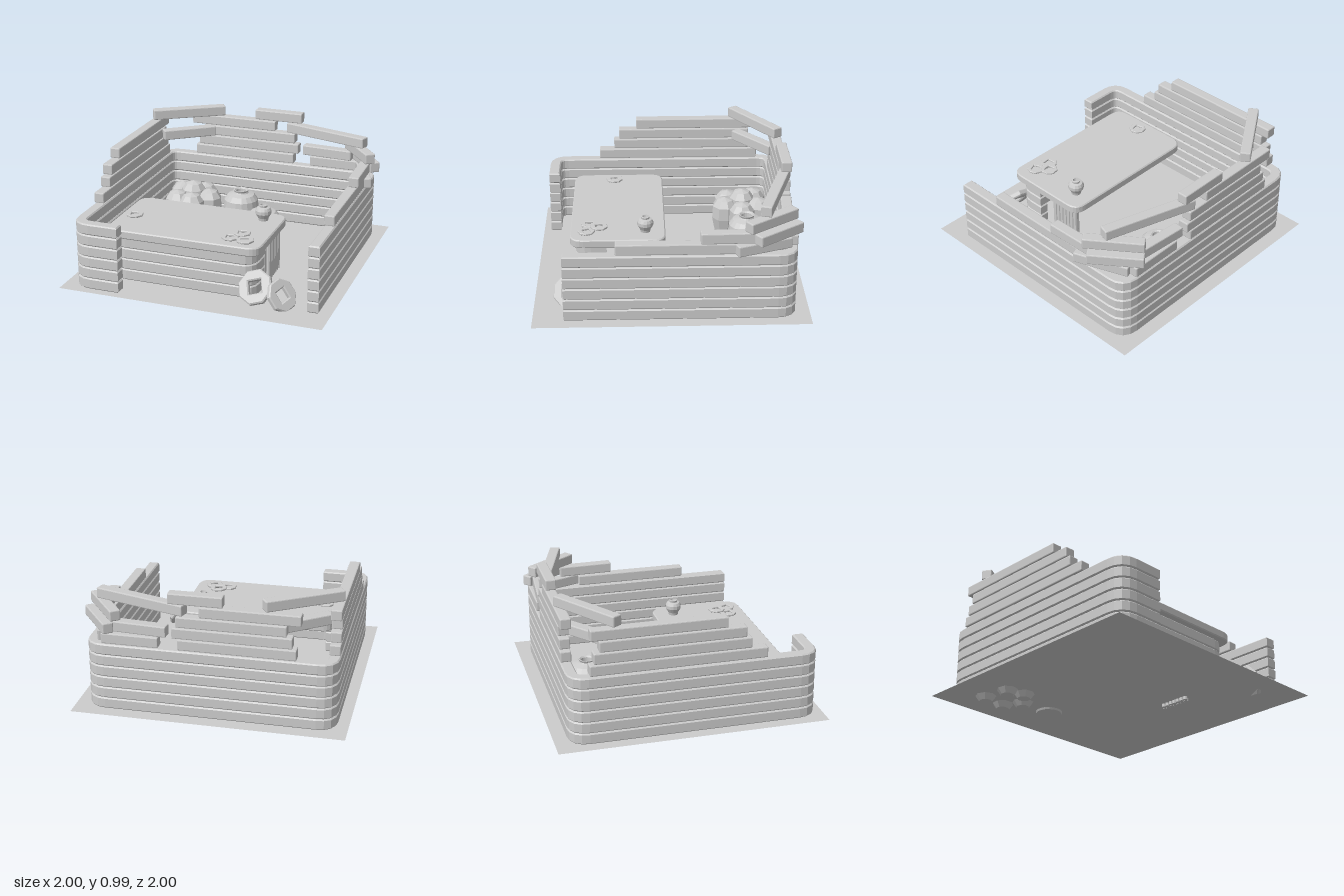
import * as THREE from 'three';
import { RoundedBoxGeometry } from 'three/addons/geometries/RoundedBoxGeometry.js';

const mat = new THREE.MeshStandardMaterial({ color: 0xcccccc, flatShading: true });
const thinMat = new THREE.MeshStandardMaterial({ color: 0xcccccc, side: THREE.DoubleSide });

export function createModel() {
  const root = new THREE.Group();

  function add(name, geometry, x = 0, y = 0, z = 0, parent = root, material = mat) {
    const mesh = new THREE.Mesh(geometry, material);
    mesh.name = name;
    mesh.position.set(x, y, z);
    parent.add(mesh);
    return mesh;
  }
  function group(name) {
    const g = new THREE.Group();
    g.name = name;
    root.add(g);
    return g;
  }

  // Flat shape (x, -z) extruded upward with a small bevel
  function slab(shape, height, bevel) {
    const geo = new THREE.ExtrudeGeometry(shape, {
      depth: height - 2 * bevel, bevelThickness: bevel, bevelSize: bevel,
      bevelOffset: -bevel, bevelSegments: 1, curveSegments: 6,
    });
    return geo.rotateX(-Math.PI / 2).translate(0, bevel, 0);
  }

  // Strip of constant width along an [x, z] path with rounded corners
  function ribbon(path, width, radius) {
    const p = path.map(([x, z]) => new THREE.Vector2(x, -z));
    const line = [p[0]];
    for (let i = 1; i < p.length - 1; i++) {
      const a = p[i - 1].clone().sub(p[i]).setLength(radius).add(p[i]);
      const b = p[i + 1].clone().sub(p[i]).setLength(radius).add(p[i]);
      line.push(...new THREE.QuadraticBezierCurve(a, p[i], b).getPoints(4));
    }
    line.push(p[p.length - 1]);
    const left = [], right = [];
    line.forEach((q, i) => {
      const t = line[Math.min(i + 1, line.length - 1)].clone()
        .sub(line[Math.max(i - 1, 0)]).setLength(width / 2);
      left.push(new THREE.Vector2(q.x - t.y, q.y + t.x));
      right.unshift(new THREE.Vector2(q.x + t.y, q.y - t.x));
    });
    return new THREE.Shape([...left, ...right]);
  }

  // Ground sheet
  add('ground', new THREE.PlaneGeometry(2, 2).rotateX(-Math.PI / 2), 0, 0.05, 0, root, thinMat);

  // Outer wall: six bevelled courses, open at the front right
  const STEP = 0.085;
  const wall = group('outerWall');
  const wallShape = ribbon([[-0.55, 0.9], [-0.877, 0.9], [-0.877, -0.858], [0.868, -0.858], [0.868, 0.775]], 0.084, 0.1);
  for (let i = 0; i < 6; i++) add('wallCourse', slab(wallShape, 0.083, 0.009), 0, 0.051 + i * STEP, 0, wall);

  // Loose planks above the wall: [layer, x1, z1, x2, z2]
  const planks = group('loosePlanks');
  const rows = [
    // left side
    [0, -0.877, 0.54, -0.877, -0.75], [1, -0.877, 0.42, -0.877, -0.72],
    [2, -0.877, 0.38, -0.877, -0.68], [3, -0.877, 0.24, -0.877, -0.74],
    // back
    [0, -0.63, -0.86, 0.22, -0.86], [1, -0.6, -0.86, 0.26, -0.86],
    [2, -0.56, -0.86, 0.23, -0.86], [3, -0.66, -0.86, 0.06, -0.86],
    [4, -0.11, -0.86, 0.285, -0.86],
    [0, 0.36, -0.86, 0.78, -0.86], [1, 0.3, -0.86, 0.71, -0.83],
    // slanted pieces across the corners
    [2, -0.82, -0.57, -0.47, -0.84], [4, -0.895, -0.545, -0.395, -0.87],
    [3, 0.17, -0.865, 0.855, -0.655], [2, 0.67, -0.88, 0.93, -0.53],
    [1, 0.715, -0.915, 0.955, -0.595], [0, 0.78, -0.84, 0.925, -0.45],
    // right side
    [0, 0.868, 0.4, 0.868, -0.47], [1, 0.885, -0.2, 0.875, -0.62],
  ];
  for (const [layer, x1, z1, x2, z2] of rows) {
    const geo = new RoundedBoxGeometry(Math.hypot(x2 - x1, z2 - z1), 0.08, 0.08, 1, 0.008);
    const m = add('plank', geo, (x1 + x2) / 2, 0.607 + layer * 0.0865, (z1 + z2) / 2, planks);
    m.rotation.y = -Math.atan2(z2 - z1, x2 - x1);
  }

  // Counter: four low courses, a rounded top and a screen of upright sticks
  const counter = group('counter');
  const counterShape = ribbon([[0.375, 0.47], [0.375, 0.665], [-0.68, 0.665], [-0.68, 0.42]], 0.07, 0.08);
  for (let i = 0; i < 4; i++) add('counterCourse', slab(counterShape, 0.083, 0.008), 0, 0.051 + i * STEP, 0, counter);
  const top = new THREE.Shape();
  const [x0, x1, y0, y1, r] = [-0.75, 0.45, -0.74, -0.03, 0.1];
  top.moveTo(x0 + r, y0).lineTo(x1 - r, y0).quadraticCurveTo(x1, y0, x1, y0 + r)
    .lineTo(x1, y1 - r).quadraticCurveTo(x1, y1, x1 - r, y1)
    .lineTo(x0 + r, y1).quadraticCurveTo(x0, y1, x0, y1 - r)
    .lineTo(x0, y0 + r).quadraticCurveTo(x0, y0, x0 + r, y0);
  add('counterTop', slab(top, 0.065, 0.008), 0, 0.393, 0, counter);
  for (let i = 0; i < 14; i++) {
    const stick = new THREE.CylinderGeometry(0.018, 0.018, 0.37, 8);
    add('stick', stick, i % 2 ? 0.36 : 0.39, 0.21, 0.1 + i * 0.018, counter);
  }

  // Lathe from [radius, height] pairs
  const turned = (points, sides) =>
    new THREE.LatheGeometry(points.map(([a, b]) => new THREE.Vector2(a, b)), sides);

  // Cluster of faceted sacks, the middle one raised
  const sacks = group('sacks');
  const sackProfile = [[0, 0], [0.05, 0.008], [0.08, 0.05], [0.105, 0.17], [0.1, 0.27], [0.065, 0.32], [0, 0.34]];
  const spots = [[-0.71, -0.715], [-0.52, -0.745], [-0.435, -0.61], [-0.54, -0.475], [-0.675, -0.505], [-0.575, -0.615]];
  spots.forEach(([x, z], i) => {
    const sack = add('sack', turned(sackProfile, 8), x, i === 5 ? 0.055 : 0, z, sacks);
    sack.rotation.y = i * 0.35;
  });

  // Round jars with a rolled rim and a hollow mouth
  const jarProfile = [
    [0, 0], [0.66, 0], [0.72, 0.06], [0.93, 0.35], [1, 0.58], [0.95, 0.76], [0.75, 0.88], [0.42, 0.92],
    [0.38, 0.95], [0.43, 1], [0.36, 1], [0.29, 0.97], [0.27, 0.85], [0, 0.83],
  ];
  const jar = (name, x, y, z, radius, height, sides) =>
    add(name, turned(jarProfile.map(([a, b]) => [a * radius, b * height]), sides), x, y, z);
  jar('largeJar', -0.16, 0.035, -0.62, 0.145, 0.33, 18);
  jar('mediumJar', 0.085, 0.052, -0.47, 0.132, 0.24, 18);
  // Small jar on the counter
  add('smallJar', turned([
    [0, 0], [0.036, 0], [0.04, 0.02], [0.06, 0.055], [0.06, 0.08], [0.05, 0.1], [0.03, 0.105],
    [0.032, 0.12], [0.022, 0.122], [0.018, 0.1], [0, 0.098],
  ], 14), 0.3, 0.458, 0.18);

  // Octagonal coins with a square hole, facing along their normal
  function coin(name, radius, thickness, hole, pos, normal, spin) {
    const ring = (n, rad, turn) => Array.from({ length: n }, (_, i) => {
      const a = turn + (i / n) * Math.PI * 2;
      return new THREE.Vector2(Math.cos(a) * rad, Math.sin(a) * rad);
    });
    const shape = new THREE.Shape(ring(8, radius, Math.PI / 8));
    shape.holes.push(new THREE.Path(ring(4, hole, Math.PI / 4)));
    const bevel = thickness * 0.2;
    const geo = new THREE.ExtrudeGeometry(shape, {
      depth: thickness - 2 * bevel, bevelThickness: bevel, bevelSize: bevel, bevelOffset: -bevel, bevelSegments: 1,
    }).translate(0, 0, bevel - thickness / 2).rotateZ(spin);
    const m = add(name, geo, ...pos);
    m.lookAt(pos[0] + normal[0], pos[1] + normal[1], pos[2] + normal[2]);
  }
  const small = [[-0.64, 0.466, 0.42, 0.2], [0.19, 0.466, 0.6, 0.1], [0.31, 0.466, 0.62, 0.4], [0.255, 0.478, 0.525, 0.15]];
  for (const [x, y, z, spin] of small) coin('smallCoin', 0.066, 0.016, 0.04, [x, y, z], [0, 1, 0.001], spin);
  coin('largeCoin', 0.135, 0.045, 0.07, [0.435, 0.17, 0.745], [-0.15, 0.58, 0.78], 0.4);
  coin('largeCoin', 0.125, 0.04, 0.06, [0.63, 0.138, 0.748], [0.74, 0.52, 0.42], 0.25);

  return root;
}
